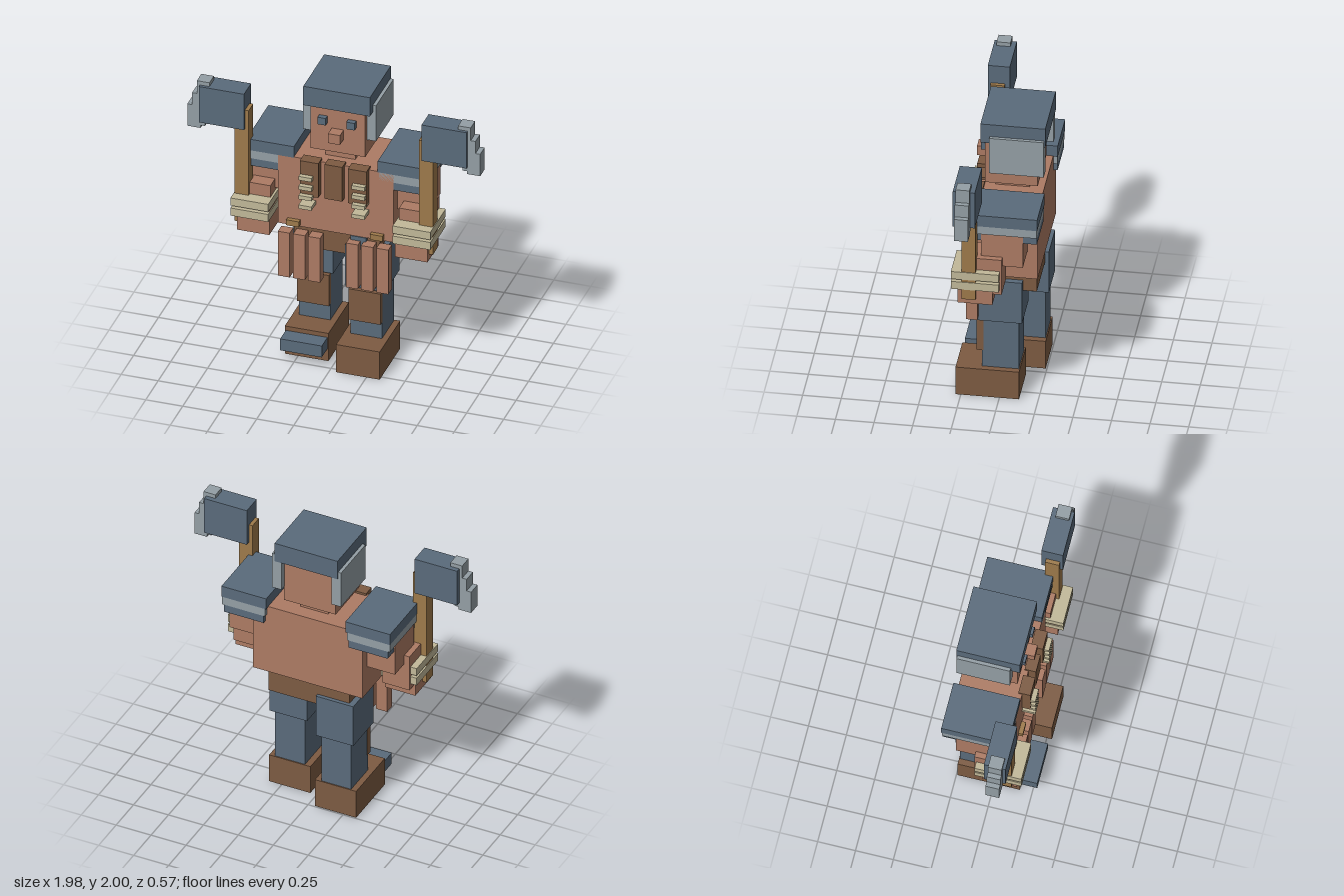
import * as THREE from 'three';

const mat = (name, color) => {
  const m = new THREE.MeshStandardMaterial({ color });
  m.name = name;
  return m;
};

export function createModel() {
  const skin = mat('skin', 0xad7b64);
  const steel = mat('blue steel', 0x5a6b7b);
  const silver = mat('pale metal', 0x949fa5);
  const leather = mat('brown leather', 0x7d5b42);
  const wood = mat('tan wood', 0x9e7a4b);
  const bone = mat('bone', 0xc2b999);

  const model = new THREE.Group();
  model.name = 'blockWarrior';

  // Box given by its limits on each axis
  const box = (parent, name, m, [x0, x1], [y0, y1], [z0, z1]) => {
    const mesh = new THREE.Mesh(new THREE.BoxGeometry(Math.abs(x1 - x0), y1 - y0, z1 - z0), m);
    mesh.position.set((x0 + x1) / 2, (y0 + y1) / 2, (z0 + z1) / 2);
    mesh.name = name;
    parent.add(mesh);
  };
  const group = (name) => {
    const g = new THREE.Group();
    g.name = name;
    model.add(g);
    return g;
  };

  // Head and helmet
  const head = group('head');
  box(head, 'skull', skin, [-0.185, 0.185], [1.535, 1.88], [-0.225, 0.115]);
  box(head, 'nose', skin, [-0.04, 0.04], [1.64, 1.71], [0.1, 0.19]);
  box(head, 'helmet', steel, [-0.225, 0.225], [1.86, 2], [-0.28, 0.14]);

  // Torso, neck and belt
  const torso = group('torso');
  box(torso, 'neck', skin, [-0.1, 0.1], [1.45, 1.55], [-0.16, 0.06]);
  box(torso, 'chest', skin, [-0.39, 0.39], [0.96, 1.47], [-0.255, 0.155]);
  box(torso, 'pelvis', leather, [-0.29, 0.29], [0.8, 0.97], [-0.235, 0.13]);
  box(torso, 'middleStrap', leather, [-0.06, 0.06], [1.23, 1.485], [0.13, 0.205]);
  box(torso, 'beltPlate', steel, [0.1, 0.205], [0.87, 0.96], [0.05, 0.16]);

  for (const s of [-1, 1]) {
    const side = s > 0 ? 'left' : 'right';
    const put = (g, name, m, [x0, x1], y, z) => box(g, name, m, [s * x0, s * x1], y, z);

    put(head, 'eye', steel, [0.07, 0.125], [1.742, 1.794], [0.1, 0.15]);
    put(head, 'cheekGuard', silver, [0.18, 0.247], [1.645, 1.91], [-0.273, 0.08]);

    // Chest straps with bone studs
    put(torso, 'sideStrap', leather, [0.1, 0.225], [1.23, 1.485], [0.13, 0.21]);
    for (let i = 0; i < 4; i++) {
      const y = 1.145 + i * 0.071;
      put(torso, 'stud', bone, [0.135, 0.223], [y, y + 0.028], [0.13, 0.242]);
    }

    // Hanging skirt strips and their clip
    put(torso, 'clip', wood, [0.24, 0.325], [0.97, 1.01], [0.12, 0.185]);
    for (const x of [0.088, 0.19, 0.293])
      put(torso, 'skirtStrip', skin, [x, x + 0.08], [0.6, 0.93], [0.138, 0.21]);

    // Arm, layered shoulder pad and wrist bands
    const arm = group(side + 'Arm');
    put(arm, 'upperArm', skin, [0.37, 0.592], [1.17, 1.48], [-0.19, 0.08]);
    put(arm, 'shoulderTop', steel, [0.283, 0.603], [1.465, 1.547], [-0.284, 0.157]);
    put(arm, 'shoulderBand', silver, [0.293, 0.6], [1.405, 1.465], [-0.281, 0.155]);
    put(arm, 'shoulderRim', steel, [0.303, 0.585], [1.35, 1.405], [-0.28, 0.153]);
    put(arm, 'forearm', skin, [0.435, 0.63], [0.975, 1.237], [-0.058, 0.175]);
    put(arm, 'fist', skin, [0.425, 0.643], [0.9, 1.09], [0, 0.226]);
    for (const y of [1.02, 1.095])
      put(arm, 'wristBand', bone, [0.42, 0.675], [y, y + 0.056], [-0.046, 0.264]);

    // War hammer with a stepped outer blade
    const hammer = group(side + 'Hammer');
    put(hammer, 'handle', wood, [0.575, 0.67], [0.945, 1.782], [0.105, 0.197]);
    put(hammer, 'hammerHead', steel, [0.6, 0.905], [1.645, 1.912], [0.074, 0.217]);
    put(hammer, 'innerBlade', silver, [0.84, 0.925], [1.635, 1.94], [0.106, 0.196]);
    put(hammer, 'middleBlade', silver, [0.87, 0.957], [1.612, 1.845], [0.106, 0.196]);
    put(hammer, 'outerBlade', silver, [0.9, 0.989], [1.592, 1.755], [0.106, 0.196]);

    // Legs in stride, the left one forward
    const leg = group(side + 'Leg');
    const dz = s > 0 ? 0 : -0.115;
    const at = (a, b) => [a + dz, b + dz];
    put(leg, 'thigh', steel, [0.06, 0.328], [0.57, 0.878], at(-0.145, 0.145));
    put(leg, 'shin', steel, [0.087, 0.3], [0.19, 0.58], at(-0.12, 0.12));
    put(leg, 'shinGuard', leather, [0.085, 0.302], [0.328, 0.557], at(0.11, 0.155));
    put(leg, 'boot', leather, [0.045, 0.34], [0, 0.206], at(-0.127, 0.284));
  }

  // Toe plate in front of the rear boot
  box(model, 'toePlate', steel, [-0.333, -0.052], [0.09, 0.175], [0.16, 0.282]);
  return model;
}
